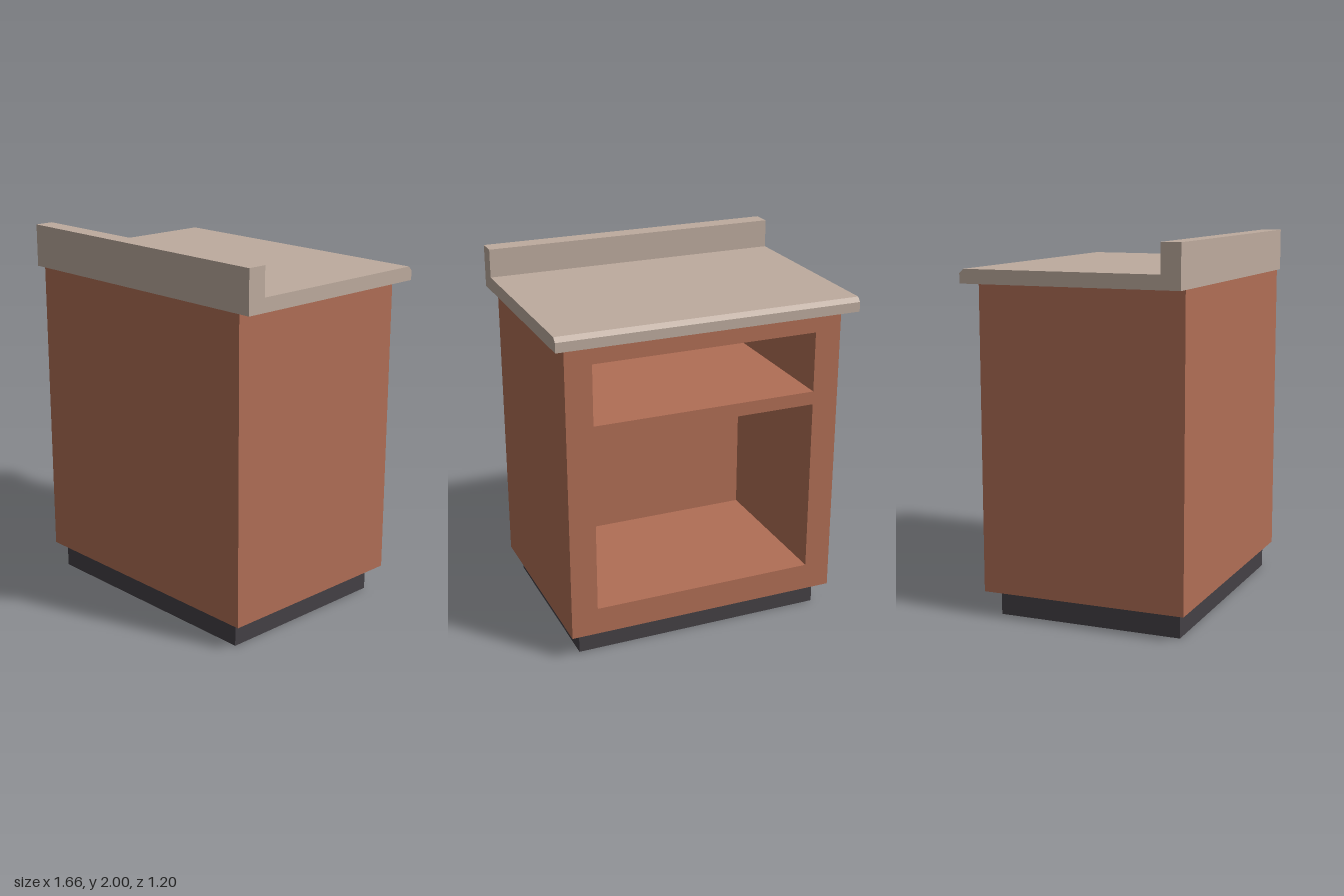
import * as THREE from 'three';

const mat = (name, color) => {
  const m = new THREE.MeshStandardMaterial({ color });
  m.name = name;
  return m;
};

// Closed outline from [x, y] points
const outline = (pts, Type = THREE.Shape) =>
  new Type(pts.map(([x, y]) => new THREE.Vector2(x, y)));

const rect = (w, y0, y1, Type) =>
  outline([[-w, y0], [w, y0], [w, y1], [-w, y1]], Type);

export function createModel() {
  const wood = mat('terracotta wood', 0xb06e55);
  const stone = mat('beige countertop', 0xbdab9e);
  const dark = mat('dark plinth', 0x444045);

  const group = new THREE.Group();
  group.name = 'baseCabinet';
  const add = (name, geometry, material) => {
    const mesh = new THREE.Mesh(geometry, material);
    mesh.name = name;
    group.add(mesh);
  };
  const box = (w, y0, y1, z0, z1) =>
    new THREE.BoxGeometry(w, y1 - y0, z1 - z0).translate(0, (y0 + y1) / 2, (z0 + z1) / 2);

  // Recessed plinth
  add('plinth', box(1.41, 0, 0.135, -0.455, 0.56), dark);

  // Carcass with a drawer bay above a cupboard bay, both open at -z
  const face = rect(0.765, 0.135, 1.77);
  face.holes.push(
    rect(0.62, 0.285, 1.257, THREE.Path),
    rect(0.62, 1.33, 1.66, THREE.Path)
  );
  const carcass = new THREE.ExtrudeGeometry(face, { depth: 0.9, bevelEnabled: false });
  add('carcass', carcass.translate(0, 0, -0.525), wood);
  add('closedWall', box(1.53, 0.135, 1.77, 0.375, 0.6), wood);

  // Countertop and upstand: one profile (-z, y) swept along x, chamfered at the open side
  const profile = outline([
    [-0.6, 1.77], [0.6, 1.77], [0.6, 1.822], [0.577, 1.845],
    [-0.495, 1.845], [-0.495, 2], [-0.6, 2]
  ]);
  const top = new THREE.ExtrudeGeometry(profile, { depth: 1.66, bevelEnabled: false });
  add('countertop', top.rotateY(Math.PI / 2).translate(-0.83, 0, 0), stone);

  return group;
}
